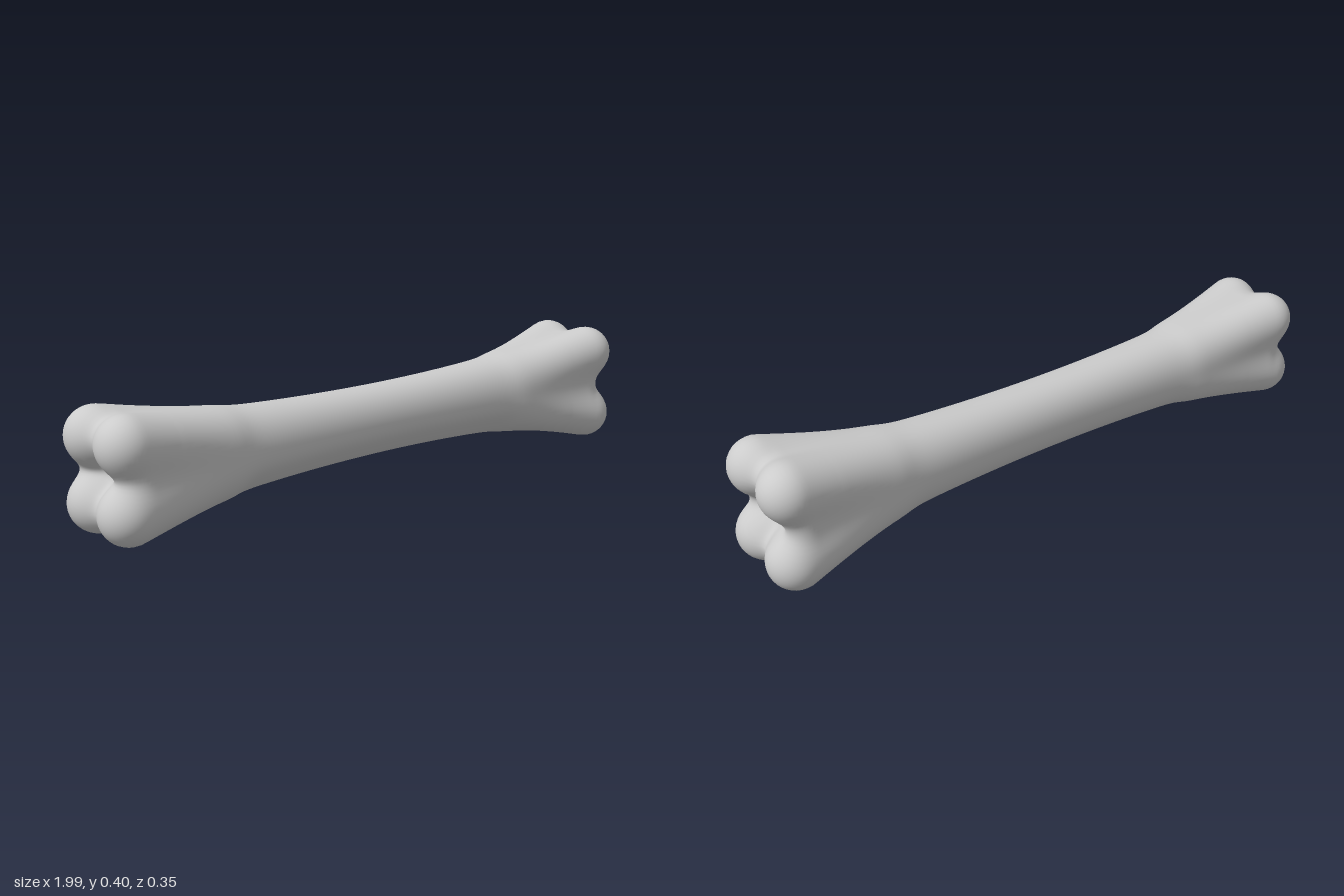
import * as THREE from 'three';
import { mergeVertices } from 'three/addons/utils/BufferGeometryUtils.js';

// Knobs: [x, y, z, radius], four at each end
const knobs = [
  [-0.915, 0.275, -0.095, 0.082], [-0.915, 0.275, 0.07, 0.082],
  [-0.915, 0.085, -0.095, 0.082], [-0.915, 0.085, 0.07, 0.082],
  [0.912, 0.317, -0.09, 0.082], [0.912, 0.313, 0.085, 0.082],
  [0.912, 0.092, -0.09, 0.082], [0.912, 0.094, 0.085, 0.082],
];
const BLEND = 0.02;

const centreY = (x) => 0.19 + 0.015 * x;
const centreZ = (x) => -0.01 + 0.006 * x;

// Flared oval shaft, flattened low on the front, with dished rounded ends
function shaftDistance(x, y, z) {
  const flare = (Math.min(Math.abs(x), 0.95) / 0.85) ** 2;
  const halfY = 0.11 + (x > 0 ? 0.045 : 0.04) * flare;
  const halfZ = 0.10 + 0.04 * flare;
  const dy = y - centreY(x), dz = z - centreZ(x);
  const p = 2.2;
  const oval = ((Math.abs(dy) / halfY) ** p + (Math.abs(dz) / halfZ) ** p) ** (1 / p);
  let side = (oval - 1) * halfZ;
  const flat = (dz - dy) * Math.SQRT1_2 - 0.097 - 0.05 * flare;
  side = 0.008 * Math.log(Math.exp(side / 0.008) + Math.exp(flat / 0.008));
  const end = Math.abs(x) - 0.9 - 3 * Math.min(dy * dy + dz * dz, 0.01);
  const r = 0.06;
  return Math.min(Math.max(side, end), -r) + Math.hypot(Math.max(side + r, 0), Math.max(end + r, 0));
}

// Each knob tapers back into the shaft as a soft ridge
function knobDistance([kx, ky, kz, kr], x, y, z) {
  const bx = 0.6 * Math.sign(kx);
  const by = centreY(bx) + 0.05 * Math.sign(ky - centreY(bx));
  const bz = centreZ(bx) + 0.045 * Math.sign(kz - centreZ(bx));
  const ax = bx - kx, ay = by - ky, az = bz - kz;
  const t = THREE.MathUtils.clamp(
    ((x - kx) * ax + (y - ky) * ay + (z - kz) * az) / (ax * ax + ay * ay + az * az), 0, 1);
  const radius = kr + (0.06 - kr) * t;
  return Math.hypot(x - kx - ax * t, y - ky - ay * t, z - kz - az * t) - radius;
}

// Smooth union of shaft and knobs
function field(x, y, z) {
  let sum = Math.exp(-shaftDistance(x, y, z) / BLEND);
  for (const k of knobs) {
    if (k[0] * x > 0) sum += Math.exp(-knobDistance(k, x, y, z) / BLEND);
  }
  return -BLEND * Math.log(sum);
}

// Walk from the spine outwards until the surface is crossed
function surfacePoint(x, dx, dy, dz) {
  const oy = centreY(x), oz = centreZ(x);
  const f = (t) => field(x + dx * t, oy + dy * t, oz + dz * t);
  let lo = 0.04, hi = 0.045;
  while (f(hi) < 0 && hi < 0.5) { lo = hi; hi += 0.005; }
  for (let i = 0; i < 10; i++) {
    const mid = (lo + hi) / 2;
    if (f(mid) < 0) lo = mid; else hi = mid;
  }
  return [x + dx * lo, oy + dy * lo, oz + dz * lo];
}

function boneGeometry() {
  const SEG = 80, CAP = 32, LENGTH = 64, SPINE = 0.78;
  // Rings: fan over the left end, run along the shaft, fan over the right end
  const rings = [];
  for (let i = 0; i < CAP; i++) rings.push([-SPINE, -Math.PI / 2 * (1 - i / CAP)]);
  for (let i = 0; i <= LENGTH; i++) rings.push([-SPINE + 2 * SPINE * i / LENGTH, 0]);
  for (let i = 1; i <= CAP; i++) rings.push([SPINE, Math.PI / 2 * i / CAP]);

  const positions = [], index = [];
  rings.forEach(([x, tilt], i) => {
    for (let j = 0; j <= SEG; j++) {
      const a = (j % SEG) / SEG * Math.PI * 2;
      const c = Math.cos(tilt);
      positions.push(...surfacePoint(x, Math.sin(tilt), c * Math.cos(a), c * Math.sin(a)));
      if (i < rings.length - 1 && j < SEG) {
        const p = i * (SEG + 1) + j, q = p + SEG + 1;
        index.push(p, p + 1, q, p + 1, q + 1, q);
      }
    }
  });
  let geometry = new THREE.BufferGeometry();
  geometry.setAttribute('position', new THREE.Float32BufferAttribute(positions, 3));
  geometry.setIndex(index);
  geometry = mergeVertices(geometry, 1e-5);
  geometry.computeBoundingBox();
  geometry.translate(0, -geometry.boundingBox.min.y, 0);
  geometry.computeVertexNormals();
  return geometry;
}

export function createModel() {
  const group = new THREE.Group();
  group.name = 'bone';
  const bone = new THREE.Mesh(boneGeometry(), new THREE.MeshStandardMaterial({ color: 0xcccccc }));
  bone.name = 'boneBody';
  group.add(bone);
  return group;
}
